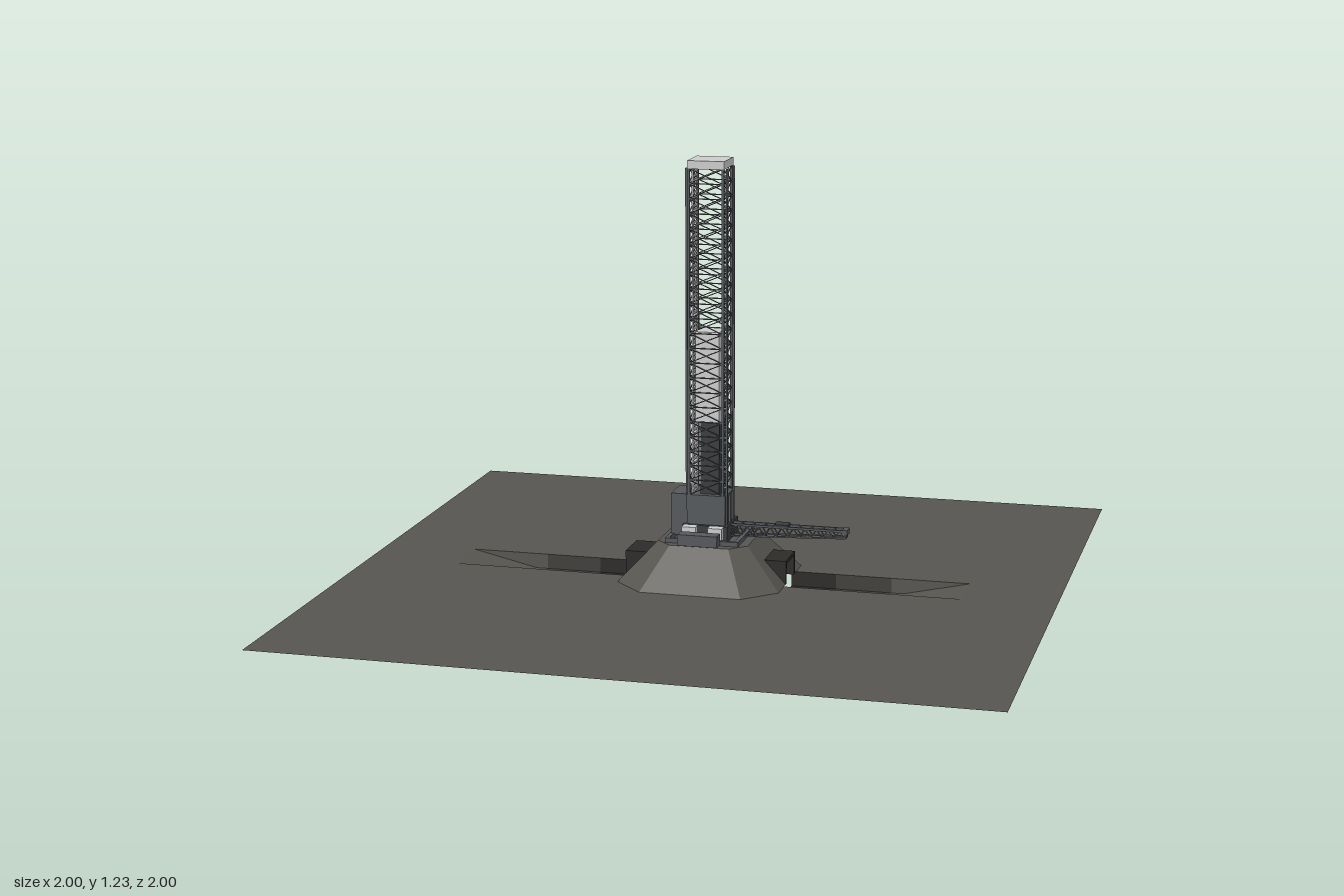
import * as THREE from 'three';

const mat = (color) => new THREE.MeshStandardMaterial({ color, flatShading: true, side: THREE.DoubleSide });
const concrete = mat(0x575550), worn = mat(0x413f3c), scorched = mat(0x2c2b29);
const steel = mat(0x55585c), light = mat(0xcccccc), dark = mat(0x3a3c3e);
const GROUND = 0.043, DECK = 0.155;
const V = (x, y, z) => new THREE.Vector3(x, y, z);

function add(parent, name, geometry, material) {
  const m = new THREE.Mesh(geometry, material);
  m.name = name;
  parent.add(m);
  return m;
}

// Box given by its lower and upper limits
function box(parent, name, x0, x1, y0, y1, z0, z1, material) {
  const m = add(parent, name, new THREE.BoxGeometry(x1 - x0, y1 - y0, z1 - z0), material);
  m.position.set((x0 + x1) / 2, (y0 + y1) / 2, (z0 + z1) / 2);
  return m;
}

// Thin square bar between two points
function strut(parent, name, a, b, t, material) {
  const m = add(parent, name, new THREE.BoxGeometry(t, a.distanceTo(b), t), material);
  m.position.copy(a).add(b).multiplyScalar(0.5);
  m.quaternion.setFromUnitVectors(V(0, 1, 0), b.clone().sub(a).normalize());
  return m;
}

// Surface stretched over four corners, with an optional doorway at its foot
function panel(parent, name, a, b, c, d, material, door) {
  const pts = [[0, 0]];
  if (door) pts.push([door.s0, 0], [door.s0, door.h], [door.s1, door.h], [door.s1, 0]);
  pts.push([1, 0], [1, 1], [0, 1]);
  const g = new THREE.ShapeGeometry(new THREE.Shape(pts.map((p) => new THREE.Vector2(...p))));
  const pos = g.attributes.position;
  for (let i = 0; i < pos.count; i++) {
    const s = pos.getX(i), t = pos.getY(i);
    const p = a.clone().lerp(b, s).lerp(d.clone().lerp(c, s), t);
    pos.setXYZ(i, p.x, p.y, p.z);
  }
  g.computeVertexNormals();
  return add(parent, name, g, material);
}

function octagon(r, k, y) {
  return [[r, -k], [r, k], [k, r], [-k, r], [-r, k], [-r, -k], [-k, -r], [k, -r]].map(([x, z]) => V(x, y, z));
}

function makeGround() {
  const shape = new THREE.Shape([[-1, -1], [1, -1], [1, 1], [-1, 1]].map((p) => new THREE.Vector2(...p)));
  const w = 0.078;
  shape.holes.push(new THREE.Path([[-0.735, -w], [-0.735, w], [0.735, w], [0.735, -w]].map((p) => new THREE.Vector2(...p))));
  const g = new THREE.Group();
  g.name = 'ground';
  const plane = add(g, 'groundPlane', new THREE.ShapeGeometry(shape), concrete);
  plane.rotation.x = -Math.PI / 2;
  plane.position.y = GROUND;
  // Flame trenches, darker towards the pad, ramped at the outer end
  const steps = [[0.22, 0, 0.35, 0, scorched], [0.35, 0, 0.51, 0, worn], [0.51, 0, 0.545, 0, concrete], [0.545, 0, 0.735, GROUND, concrete]];
  for (const s of [-1, 1]) {
    for (const [x0, y0, x1, y1, m] of steps) {
      panel(g, 'trenchFloor', V(s * x0, y0, -s * w), V(s * x0, y0, s * w), V(s * x1, y1, s * w), V(s * x1, y1, -s * w), m);
      for (const z of [-w, w])
        panel(g, 'trenchWall', V(s * x0, y0, z), V(s * x1, y1, z), V(s * x1, GROUND, z), V(s * x0, GROUND, z), m);
    }
  }
  return g;
}

function makeMound() {
  const g = new THREE.Group();
  g.name = 'mound';
  const lo = octagon(0.233, 0.145, GROUND), hi = octagon(0.13, 0.085, DECK);
  for (let i = 0; i < 8; i++) {
    const j = (i + 1) % 8;
    panel(g, 'moundSide', lo[i], lo[j], hi[j], hi[i], concrete, i % 4 === 0 ? { s0: 0.3, s1: 0.7, h: 0.55 } : null);
  }
  const top = new THREE.ShapeGeometry(new THREE.Shape(hi.map((p) => new THREE.Vector2(p.x, -p.z))));
  const deck = add(g, 'moundTop', top, concrete);
  deck.rotation.x = -Math.PI / 2;
  deck.position.y = DECK;
  // Tunnel portals
  for (const s of [-1, 1]) {
    const [x0, x1] = s > 0 ? [0.16, 0.234] : [-0.234, -0.16];
    box(g, 'portalRoof', x0, x1, 0.1, 0.11, -0.057, 0.057, scorched);
    for (const z of [-1, 1]) box(g, 'portalWall', x0, x1, GROUND, 0.1, z * 0.052 - 0.005, z * 0.052 + 0.005, scorched);
    // Wedge that splits the exhaust
    panel(g, 'flameDeflector', V(s * 0.16, GROUND, -0.055), V(s * 0.16, GROUND, 0.055), V(0, 0.145, 0.055), V(0, 0.145, -0.055), scorched);
  }
  return g;
}

function makeDeck() {
  const g = new THREE.Group();
  g.name = 'launchTable';
  for (const s of [-1, 1]) {
    box(g, 'deckBeam', -0.105, 0.105, DECK, 0.168, s * 0.097 - 0.006, s * 0.097 + 0.006, steel);
    box(g, 'deckBeam', s * 0.1 - 0.006, s * 0.1 + 0.006, DECK, 0.168, -0.1, 0.1, steel);
  }
  box(g, 'tableBase', -0.065, 0.065, DECK, 0.2, -0.065, 0.065, dark);
  box(g, 'serviceBlock', -0.102, -0.055, 0.165, 0.285, -0.048, 0.048, steel);
  box(g, 'towerFoot', -0.055, 0.056, 0.2, 0.285, -0.053, 0.053, steel);
  for (const z of [-0.03, 0, 0.03]) box(g, 'footRib', 0.055, 0.061, 0.18, 0.28, z - 0.006, z + 0.006, steel);
  for (const x of [-0.04, 0.035]) box(g, 'smallCabinet', x - 0.02, x + 0.02, DECK, 0.2, 0.06, 0.09, light);
  box(g, 'frontCabinet', -0.058, 0.056, 0.16, 0.192, 0.108, 0.146, steel);
  for (const x of [-0.045, 0.045]) strut(g, 'cabinetBracket', V(x, DECK, 0.08), V(x, 0.17, 0.112), 0.006, dark);
  return g;
}

function makeTower() {
  const g = new THREE.Group();
  g.name = 'tower';
  const r = 0.049, y0 = 0.285, y1 = 1.21, n = 22, h = (y1 - y0) / n;
  for (const sx of [-1, 1]) for (const sz of [-1, 1]) {
    strut(g, 'towerPost', V(sx * r, DECK, sz * r), V(sx * r, y1, sz * r), 0.007, steel);
    strut(g, 'outerRail', V(sx * 0.058, DECK, sz * 0.04), V(sx * 0.058, y1, sz * 0.04), 0.005, steel);
  }
  // Crossed bracing on all four faces
  for (let f = 0; f < 4; f++) {
    const face = new THREE.Group();
    face.name = 'towerFace';
    face.rotation.y = f * Math.PI / 2;
    g.add(face);
    for (let i = 0; i < n; i++) {
      const a = y0 + i * h, b = a + h;
      strut(face, 'crossBar', V(-r, b, r), V(r, b, r), 0.003, steel);
      strut(face, 'brace', V(-r, a, r), V(r, b, r), 0.0025, steel);
      strut(face, 'brace', V(r, a, r), V(-r, b, r), 0.0025, steel);
    }
  }
  // Stepped inner shaft and the ladders above it
  box(g, 'lowerShaft', -0.02, 0.035, 0.28, 0.49, -0.035, 0.035, dark);
  box(g, 'middleShaft', -0.034, 0.034, 0.49, 0.75, -0.034, 0.034, light);
  for (const x of [-0.044, 0.044]) {
    for (const z of [-0.025, 0.025]) strut(g, 'ladderRail', V(x, y0, z), V(x, y1, z), 0.004, light);
    for (let y = y0; y < y1; y += 0.012) strut(g, 'ladderRung', V(x, y, -0.025), V(x, y, 0.025), 0.005, light);
  }
  box(g, 'towerCap', -0.053, 0.053, y1, 1.232, -0.053, 0.053, light);
  return g;
}

function makeArm() {
  const g = new THREE.Group();
  g.name = 'accessArm';
  const n = 10, x0 = 0.06, x1 = 0.395, top = 0.196, w = 0.014;
  const at = (i) => x0 + (x1 - x0) * i / n;
  const low = (i) => 0.162 + 0.014 * i / n;
  for (const z of [-w, w]) {
    strut(g, 'topChord', V(x0 - 0.02, top, z), V(x1, top, z), 0.006, steel);
    strut(g, 'bottomChord', V(x0, low(0), z), V(x1, low(n), z), 0.004, steel);
    for (let i = 0; i < n; i++) {
      strut(g, 'armBrace', V(at(i), low(i), z), V(at(i + 0.5), top, z), 0.003, steel);
      strut(g, 'armBrace', V(at(i + 0.5), top, z), V(at(i + 1), low(i + 1), z), 0.003, steel);
    }
  }
  for (let i = 0; i <= n; i++) {
    strut(g, 'armTie', V(at(i), top, -w), V(at(i), top, w), 0.004, steel);
    strut(g, 'armTie', V(at(i), low(i), -w), V(at(i), low(i), w), 0.003, steel);
  }
  box(g, 'walkway', x0, x1, 0.19, 0.194, -0.007, 0.007, steel);
  box(g, 'armFitting', 0.19, 0.23, 0.197, 0.204, -0.018, 0.018, dark);
  box(g, 'armTip', 0.385, 0.4, 0.185, 0.2, -0.018, 0.018, steel);
  return g;
}

export function createModel() {
  const model = new THREE.Group();
  model.name = 'launchPad';
  model.add(makeGround(), makeMound(), makeDeck(), makeTower(), makeArm());
  return model;
}
